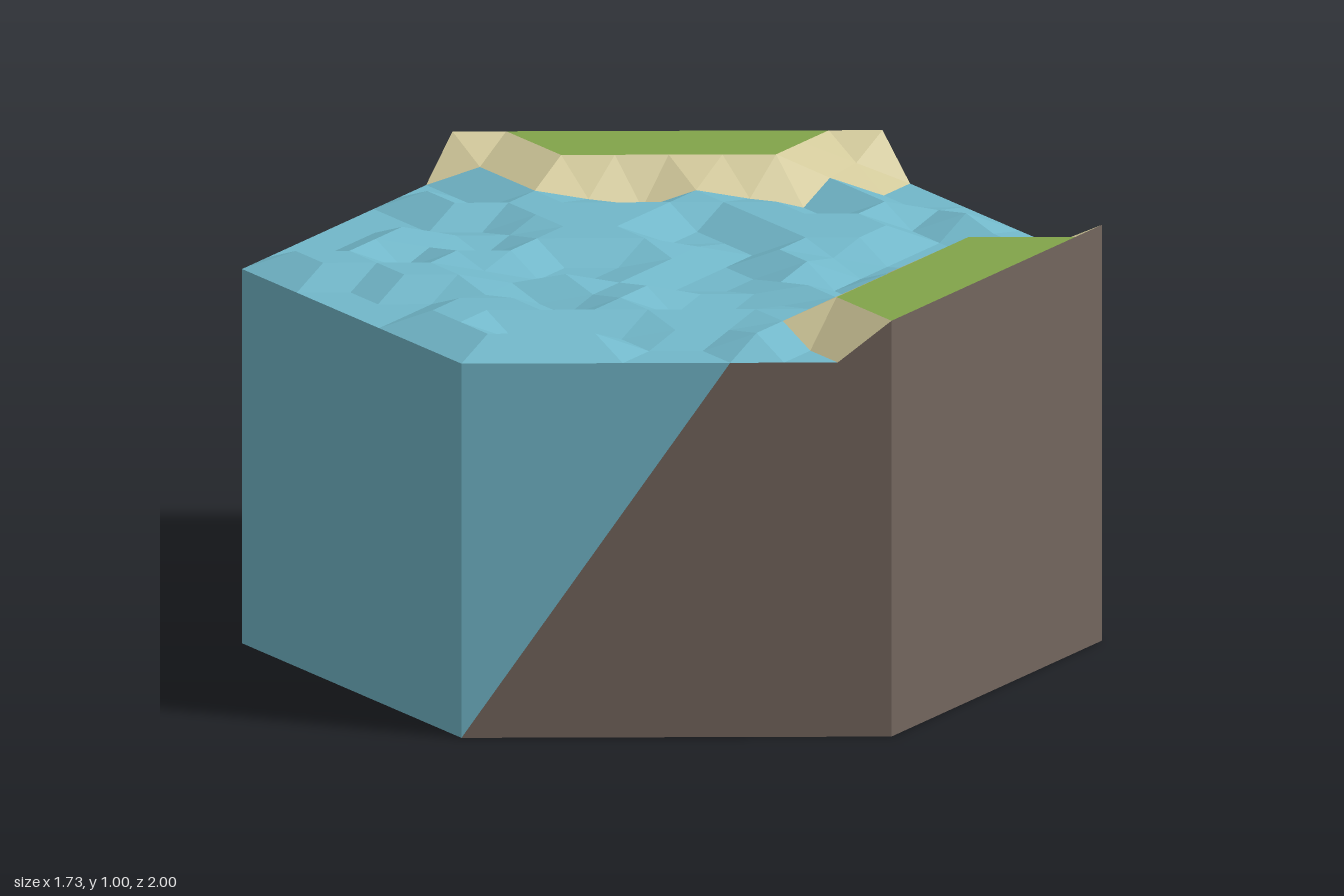
import * as THREE from 'three';

const N = 8;                          // lattice cells along each hexagon edge
const W = Math.sqrt(3) / 2;           // half width of the hexagon
const SHORE = 0.9;

const mat = (name, color) => {
  const m = new THREE.MeshStandardMaterial({ color, flatShading: true, side: THREE.DoubleSide });
  m.name = name;
  return m;
};

// Land covers two strips along the +x edges; j is z in sixteenths
function isLand(i, j) {
  const a = Math.abs(j);
  if (i < 0) return false;
  if (i === 0) return j >= 12 || j === -16;
  return a >= [0, 11, 10, 9, 8, 7, 8, 9, 8][i];
}
const isBank = (i, j) => i === 7 && Math.abs(j) === 7;
const inHex = (i, j) => Math.abs(i) <= N && Math.abs(j) <= 16 - Math.abs(i);
const onRim = (i, j) => Math.abs(i) === N || Math.abs(j) === 16 - Math.abs(i);

// Repeatable ripple for each lattice point
function ripple(i, j) {
  let h = Math.imul(i + 31, 374761393) ^ Math.imul(j + 57, 668265263);
  h = Math.imul(h ^ (h >>> 13), 1274126177);
  h = ((h ^ (h >>> 16)) >>> 0) / 4294967296;
  return h < 0.4 ? 0 : h < 0.55 ? 0.022 : 0.043;
}

function height(i, j) {
  if (isLand(i, j)) return 1;
  if (isBank(i, j)) return 0.95;
  return onRim(i, j) ? SHORE : SHORE + ripple(i, j);
}

export function createModel() {
  const group = new THREE.Group();
  group.name = 'riverTile';
  const water = mat('water blue', 0x72b8ca);
  const sand = mat('sand', 0xd2c99b);
  const grass = mat('grass green', 0x82a44a);
  const dirt = mat('dirt brown', 0x73655d);

  const add = (name, geometry, material) => {
    const mesh = new THREE.Mesh(geometry, material);
    mesh.name = name;
    group.add(mesh);
  };

  // Top surface: triangle lattice sorted into water, beach and grass
  const faces = { water: [], sand: [], grass: [] };
  const addTriangle = (pts) => {
    if (!pts.every(([i, j]) => inHex(i, j))) return;
    const land = pts.filter(([i, j]) => isLand(i, j)).length;
    const bank = pts.some(([i, j]) => isBank(i, j));
    const kind = land === 3 ? 'grass' : land || bank ? 'sand' : 'water';
    for (const [i, j] of pts) faces[kind].push(i * W / N, height(i, j), j / 16);
  };
  for (let i = -N; i <= N; i++) {
    for (let j = -17; j <= 17; j++) {
      if ((i + j) % 2) continue;
      addTriangle([[i, j], [i + 1, j + 1], [i + 1, j - 1]]);
      addTriangle([[i, j], [i, j + 2], [i + 1, j + 1]]);
    }
  }
  const surface = (name, list, material) => {
    const g = new THREE.BufferGeometry();
    g.setAttribute('position', new THREE.Float32BufferAttribute(list, 3));
    g.computeVertexNormals();
    add(name, g, material);
  };
  surface('waterSurface', faces.water, water);
  surface('beach', faces.sand, sand);
  surface('grassBanks', faces.grass, grass);

  // Side walls: flat outlines (fraction along edge, height) stood on hexagon edges
  const corners = [[-W, 0.5], [0, 1], [W, 0.5], [W, -0.5], [0, -1], [-W, -0.5]];
  const wall = (name, edge, outline, material) => {
    const [ax, az] = corners[edge];
    const [bx, bz] = corners[(edge + 1) % 6];
    const g = new THREE.ShapeGeometry(new THREE.Shape(outline.map(([t, y]) => new THREE.Vector2(t, y))));
    const p = g.attributes.position;
    for (let k = 0; k < p.count; k++) {
      const t = p.getX(k);
      p.setXYZ(k, ax + (bx - ax) * t, p.getY(k), az + (bz - az) * t);
    }
    g.computeVertexNormals();
    add(name, g, material);
  };
  const full = [[0, 0], [1, 0], [1, 1], [0, 1]];
  wall('frontLeftwardWall', 1, full, dirt);
  wall('backLeftwardWall', 3, full, dirt);
  wall('leftWall', 2, [[0, 0], [1, 0], [1, 1], [0.875, SHORE], [0.125, SHORE], [0, 1]], dirt);
  wall('frontRightwardWall', 0, [[0, 0], [1, 0], [1, 1], [0.875, SHORE], [0.625, SHORE]], dirt);
  wall('frontWaterWall', 0, [[0, 0], [0.625, SHORE], [0, SHORE]], water);
  wall('backRightwardWall', 4, [[0, 0], [1, 0], [0.5, SHORE], [0.125, SHORE], [0, 1]], dirt);
  wall('backWaterWall', 4, [[1, 0], [1, SHORE], [0.5, SHORE]], water);
  wall('rightWaterWall', 5, [[0, 0], [1, 0], [1, SHORE], [0, SHORE]], water);

  return group;
}
